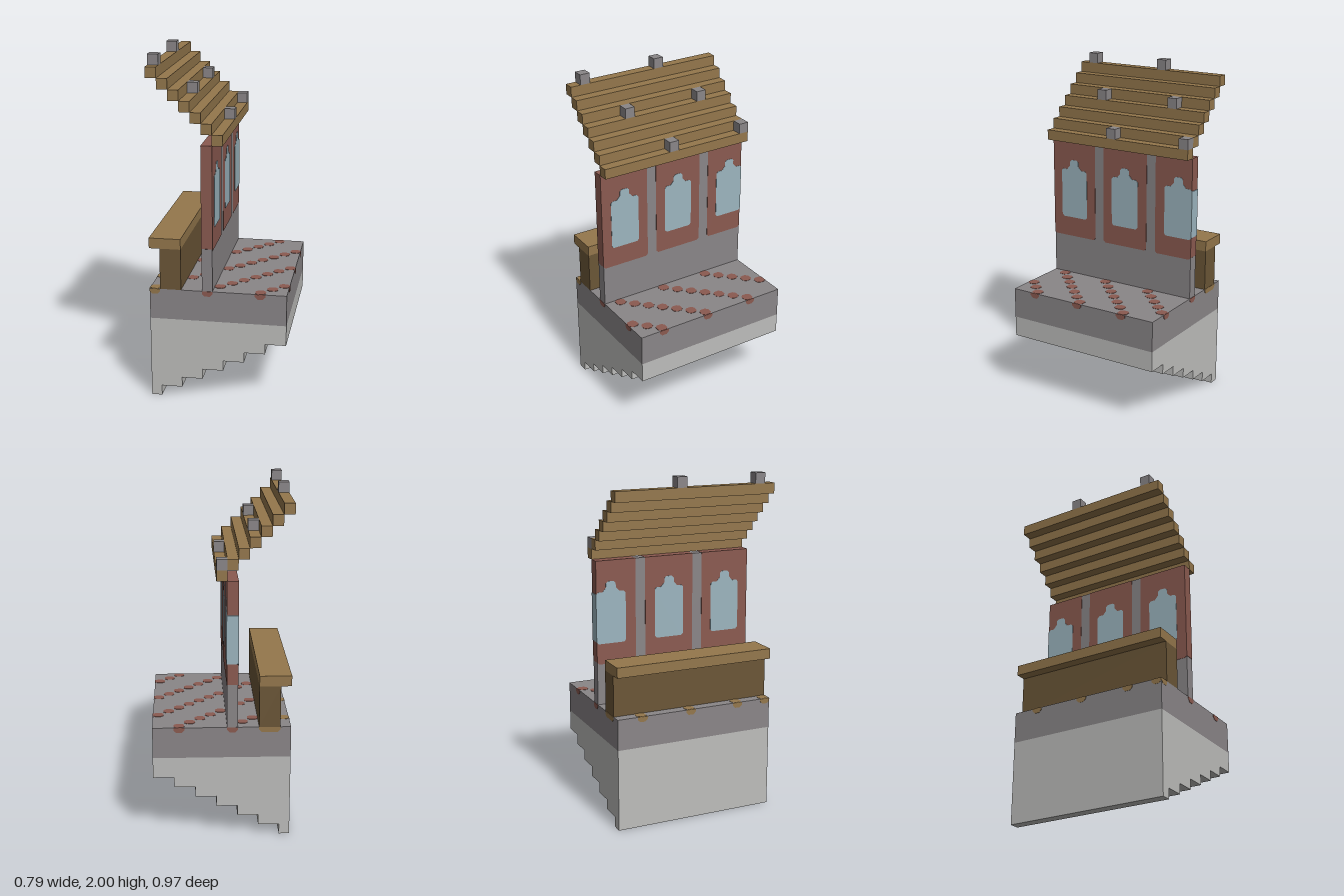
import * as THREE from 'three';

const U = 2 / 33;          // one grid cell
const T = 0.03;            // half thickness of painted plates, in cells

const mat = (name, color, extra) => Object.assign(new THREE.MeshStandardMaterial({ color }), { name }, extra);

export function createModel() {
  const root = new THREE.Group();
  root.name = 'balcony';
  const paleStone = mat('paleStone', 0xbdbdbb);
  const stone = mat('stone', 0x8a8688);
  const brick = mat('brickRed', 0x8b5a50);
  const wood = mat('wood', 0x94774c);
  const darkWood = mat('darkWood', 0x6b5637);
  const glass = mat('glass', 0x9cb5bf);

  const group = (name) => {
    const g = new THREE.Group();
    g.name = name;
    root.add(g);
    return g;
  };
  const add = (parent, name, geo, material) => {
    const m = new THREE.Mesh(geo.scale(U, U, U), material);
    m.name = name;
    parent.add(m);
  };
  // Box from its low and high corners, in cells (x is centred on 0)
  const box = (parent, name, material, x0, x1, y0, y1, z0, z1) => {
    const g = new THREE.BoxGeometry(x1 - x0, y1 - y0, z1 - z0);
    g.translate((x0 + x1) / 2, (y0 + y1) / 2, (z0 + z1) / 2);
    add(parent, name, g, material);
  };
  // Outline extruded about its own plane, centred on depth 0
  const slab = (pts, depth) => {
    const shape = new THREE.Shape(pts.map(([x, y]) => new THREE.Vector2(x, y)));
    return new THREE.ExtrudeGeometry(shape, { depth, bevelEnabled: false }).translate(0, 0, -depth / 2);
  };
  // Rectangle with cut lower corners and, if top > 0, cut upper corners
  const cutRect = (x0, x1, y0, y1, c = 0.2, top = 0) => {
    const p = [[x0 + c, y0], [x1 - c, y0], [x1, y0 + c]];
    if (top) p.push([x1, y1 - top], [x1 - top, y1], [x0 + top, y1], [x0, y1 - top]);
    else p.push([x1, y1], [x0, y1]);
    return [...p, [x0, y0 + c]];
  };

  // Corbel: stepped underside rising towards +x
  const corbel = [[-6.5, 8], [-6.5, 0], [-5.5, 0]];
  for (let s = 1; s <= 6; s++) corbel.push([-7.5 + 2 * s, s], [-5.5 + 2 * s, s]);
  corbel.push([6.5, 8]);
  add(root, 'corbel', slab(corbel, 16), paleStone);
  box(root, 'floorSlab', stone, -6.5, 6.5, 8, 11, -8, 8);

  // Floor studs in diagonal rows, wrapping over the slab edges
  const studs = group('floorStuds');
  const topStud = (i, z, m) => add(studs, 'studTop',
    slab(cutRect(i - 6.5, i - 5.5, -z - 1, -z, 0.25, 0.25), 2 * T).rotateX(-Math.PI / 2).translate(0, 11, 0), m);
  const endStud = (i, w, zFace, m) => add(studs, 'studEnd',
    slab(cutRect(i - 6.5, i - 6.5 + w, 10.5, 11, 0.25), 2 * T).translate(0, 0, zFace), m);
  const sideStud = (z, xFace, m) => add(studs, 'studSide',
    slab(cutRect(z, z + 1, 10.5, 11, 0.25), 2 * T).rotateY(-Math.PI / 2).translate(xFace, 0, 0), m);
  for (let i = 3; i <= 12; i++) {
    for (let z = -8; z < 8; z++) {
      if ((z + i + 8) % 5 !== 0) continue;
      if (i !== 5) topStud(i, z, brick);
      if (z === -8) endStud(i, 1, -8, brick);
      if (z === 7) endStud(i, 1, 8, brick);
      if (i === 12) sideStud(z, 6.5, brick);
    }
  }
  for (const z of [-6, -1, 4, 7]) {
    topStud(0, z, wood);
    sideStud(z, -6.5, wood);
  }
  endStud(0, 1, 8, wood);
  endStud(1, 2, -8, wood);

  // Parapet with overhanging cap
  const parapet = group('parapet');
  box(parapet, 'parapetBody', darkWood, -5.5, -3.5, 11, 15, -8, 8);
  box(parapet, 'parapetCap', wood, -6.5, -3.5, 15, 16, -8, 8);

  // Wall: stone core and pillars, brick panels, arched windows on both faces
  const wall = group('wall');
  box(wall, 'wallCore', stone, -1.5, -0.5, 11, 24.98, -7.98, 7.98);
  const wallPart = (name, pts, depth, m) =>
    add(wall, name, slab(pts, depth).rotateY(-Math.PI / 2).translate(-1, 0, 0), m);
  for (const [z0, z1] of [[3, 8], [-3, 2], [-8, -4]]) {
    wallPart('brickPanel', cutRect(z0, z1, 15, 25), 1 + 2 * T, brick);
  }
  const half = [[1.3, 17], [1.5, 17.2], [1.5, 21.8], [1.3, 22], [0.85, 22], [0.5, 22.4], [0.5, 22.8], [0.3, 23]];
  const arch = [...half, ...half.map(([x, y]) => [-x, y]).reverse()];
  for (const c of [5.5, -0.5, -6.53]) {
    wallPart('window', arch.map(([x, y]) => [x + c, y]), 1 + 4 * T, glass);
  }

  // Stepped roof planks with small stone blocks
  const roof = group('roof');
  for (let i = 0; i < 7; i++) box(roof, 'roofPlank', wood, i - 6.5, i - 5.5, 31 - i, 32 - i, -8, 8);
  for (const [i, z] of [[0, 6], [0, -2], [3, 3], [3, -5], [6, 0], [6, -8]]) {
    box(roof, 'roofBlock', stone, i - 6.5, i - 5.5, 32 - i, 33 - i, z, z + 1);
  }
  return root;
}
